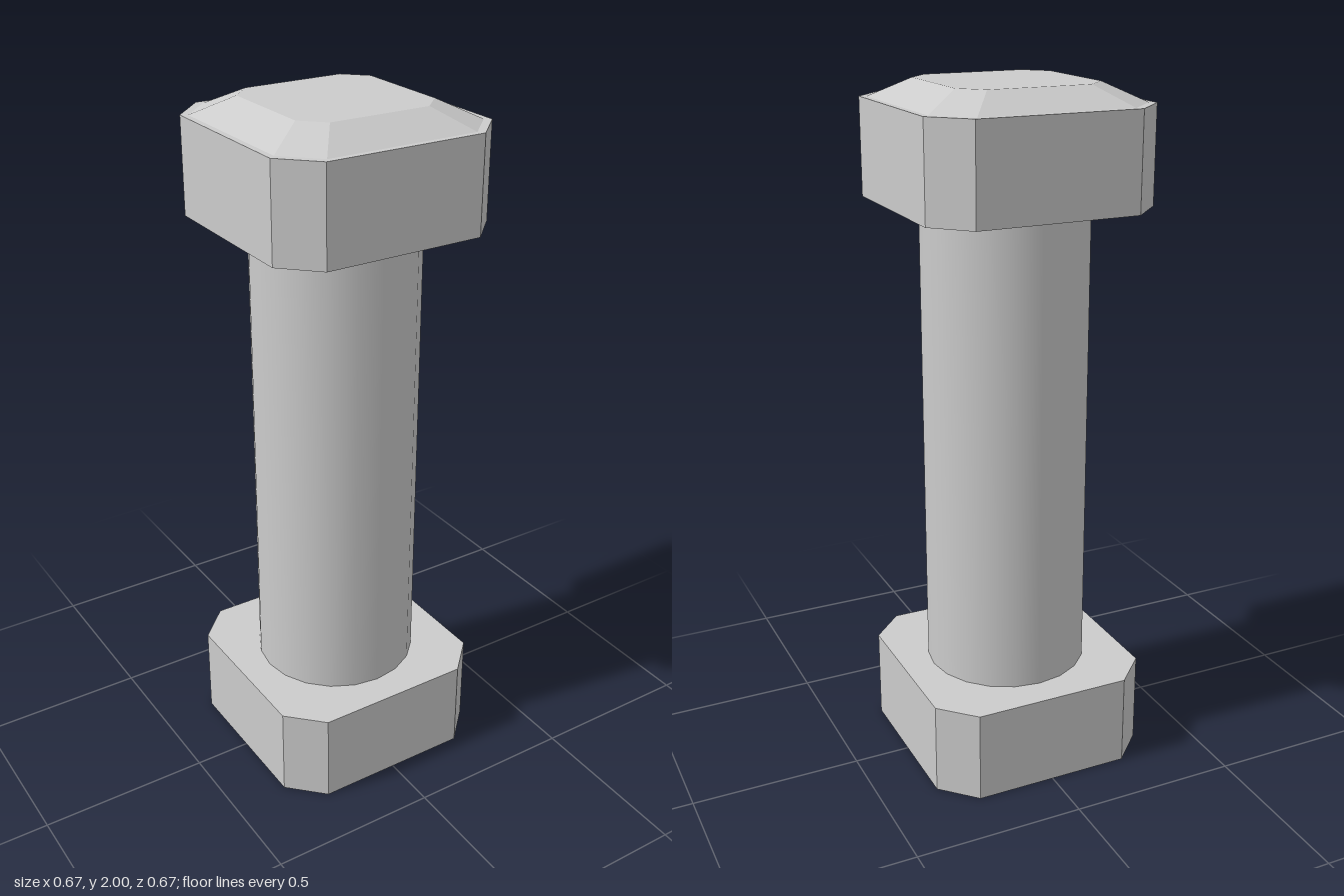
import * as THREE from 'three';

const material = new THREE.MeshStandardMaterial({ color: 0xcccccc, flatShading: true });
const smoothMaterial = new THREE.MeshStandardMaterial({ color: 0xcccccc });

// Square block with cut corners, standing on y = 0; topScale tapers its upper face
function chamferedBlock(half, corner, height, topScale = 1) {
  const outline = [
    [half, -corner], [half, corner], [corner, half], [-corner, half],
    [-half, corner], [-half, -corner], [-corner, -half], [corner, -half],
  ].map(([x, y]) => new THREE.Vector2(x, y));
  const geometry = new THREE.ExtrudeGeometry(new THREE.Shape(outline), { depth: height, bevelEnabled: false });
  geometry.rotateX(-Math.PI / 2);
  const p = geometry.attributes.position;
  for (let i = 0; i < p.count; i++) {
    const s = THREE.MathUtils.lerp(1, topScale, p.getY(i) / height);
    p.setXYZ(i, p.getX(i) * s, p.getY(i), p.getZ(i) * s);
  }
  geometry.computeVertexNormals();
  return geometry;
}

export function createModel() {
  const model = new THREE.Group();
  model.name = 'pillar';

  const add = (name, geometry, y, mat = material) => {
    const mesh = new THREE.Mesh(geometry, mat);
    mesh.name = name;
    mesh.position.y = y;
    model.add(mesh);
  };

  // Matching blocks at the foot and head
  add('base', chamferedBlock(0.333, 0.236, 0.275), 0);
  add('capital', chamferedBlock(0.333, 0.236, 0.275), 1.672);

  // Round shaft between the blocks
  add('shaft', new THREE.CylinderGeometry(0.24, 0.24, 1.397, 20), 0.275 + 1.397 / 2, smoothMaterial);

  // Low tapered cap on the capital
  add('cap', chamferedBlock(0.315, 0.223, 0.053, 0.667), 1.947);

  return model;
}
